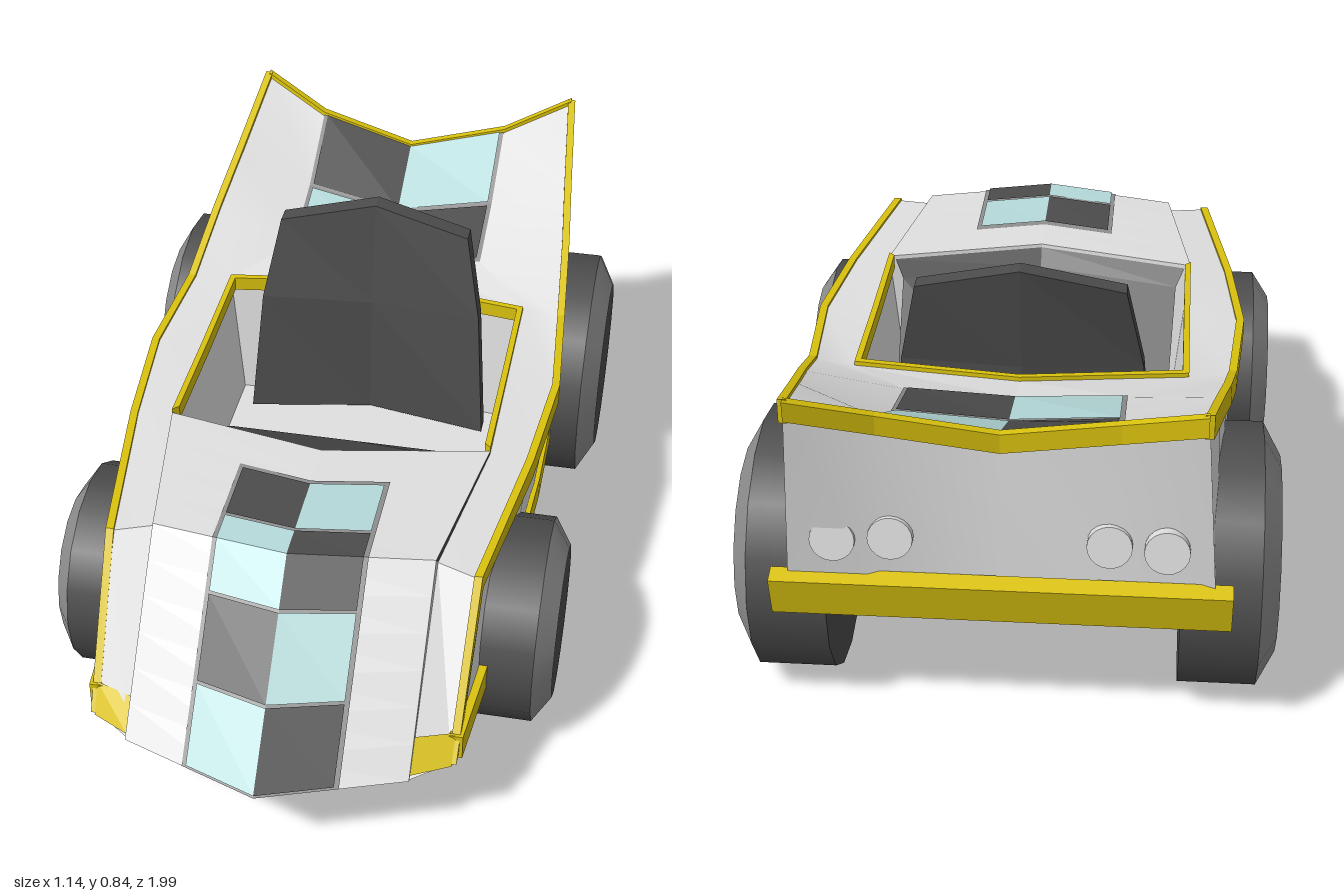
import * as THREE from 'three';
import { mergeGeometries, mergeVertices } from 'three/addons/utils/BufferGeometryUtils.js';

const paint = (name, color) => {
  const m = new THREE.MeshStandardMaterial({ color, side: THREE.DoubleSide });
  m.name = name;
  return m;
};
const add = (a, b) => a.map((v, i) => v + b[i]);
const lerp = (a, b, t) => a.map((v, i) => v + (b[i] - v) * t);
const flip = (p) => [-p[0], p[1], p[2]];
const both = (rows) => [rows, rows.map((r) => r.map(flip).reverse())];

// Faceted surface through rows of points
function grid(rows) {
  const out = [];
  for (let i = 0; i + 1 < rows.length; i++)
    for (let j = 0; j + 1 < rows[i].length; j++) {
      const a = rows[i][j], b = rows[i + 1][j], c = rows[i + 1][j + 1], d = rows[i][j + 1];
      out.push(...a, ...b, ...c, ...a, ...c, ...d);
    }
  const g = new THREE.BufferGeometry();
  g.setAttribute('position', new THREE.Float32BufferAttribute(out, 3));
  g.computeVertexNormals();
  return g;
}

// The same surface with normals blended across its faces
function smoothGrid(rows) {
  const g = grid(rows);
  g.deleteAttribute('normal');
  const m = mergeVertices(g);
  m.computeVertexNormals();
  return m;
}

// Bar with a four-cornered section following a path
function bar(path, down, inward) {
  const rows = path.map((p, i) => {
    const d = Array.isArray(down[0]) ? down[i] : down;
    const n = Array.isArray(inward[0]) ? inward[i] : inward;
    return [p, add(p, d), add(add(p, d), n), add(p, n), p];
  });
  const caps = [rows[0], rows[rows.length - 1]].map((r) => grid([[r[0], r[1]], [r[3], r[2]]]));
  return mergeGeometries([grid(rows), ...caps]);
}

export function createModel() {
  const white = paint('bodyWhite', 0xe0e0e0);
  const yellow = paint('trimYellow', 0xdac20e);
  const dark = paint('darkGrey', 0x4c4c4c);
  const blue = paint('paleBlue', 0xb6dada);
  const grey = paint('tyreGrey', 0x8e8e8e);
  const car = new THREE.Group();
  const put = (name, mat, ...geos) => {
    const m = new THREE.Mesh(geos.length > 1 ? mergeGeometries(geos) : geos[0], mat);
    m.name = name;
    car.add(m);
    return m;
  };

  // Key lines of the body, left half, front to back
  const belt = [[0.392, 0.22, 0.83], [0.402, 0.552, 0.60], [0.46, 0.565, 0.2], [0.485, 0.575, -0.08],
    [0.465, 0.587, -0.35], [0.448, 0.67, -0.56], [0.43, 0.736, -0.73], [0.405, 0.835, -0.985]];
  const sill = [[0.392, 0.22, 0.82], [0.412, 0.22, 0.6], [0.432, 0.22, 0.2], [0.445, 0.22, -0.08],
    [0.445, 0.22, -0.35], [0.445, 0.22, -0.56], [0.443, 0.25, -0.70], [0.44, 0.30, -0.89]];
  const inner = [[0.31, 0.215, 0.868], [0.312, 0.558, 0.572], [0.37, 0.572, 0.2], [0.37, 0.578, -0.08],
    [0.37, 0.583, -0.37], [0.24, 0.612, -0.52], [0.24, 0.665, -0.715], [0.24, 0.772, -0.915]];
  const mid = [[0, 0.585, -0.42], [0, 0.597, -0.515], [0, 0.632, -0.685], [0, 0.72, -0.88]];

  // Sides, shoulders and rear deck
  put('bodySides', white, ...both([belt, sill]).map(smoothGrid));
  put('frontShoulders', white, ...both([belt.slice(0, 2), inner.slice(0, 2)]).map(grid));
  put('shoulders', white, ...both([belt.slice(1), inner.slice(1)]).map(smoothGrid));
  put('rearDeck', white, ...both([inner.slice(4), mid]).map(grid));

  // Pointed bonnet standing slightly proud of the shoulders
  const noseEdge = [[0.31, 0.215, 0.885], [0.31, 0.575, 0.585], [0.37, 0.58, 0.2]];
  const noseMid = [[0, 0.215, 0.995], [0, 0.588, 0.64], [0, 0.588, 0.28]];
  const divide = ([a, b, c]) => [0, 1, 2, 3, 4, 5].map((i) => lerp(a, b, i / 6))
    .concat([0, 1, 2, 3, 4].map((i) => lerp(b, c, i / 4)));
  put('bonnet', white, ...both([divide(noseEdge), divide(noseMid)]).map(grid));
  put('noseEdge', white, ...both([noseEdge.slice(0, 2), inner.slice(0, 2)]).map(grid));
  put('bonnetEdge', dark, ...both([noseEdge.slice(1), inner.slice(1, 3)]).map(grid));

  // Floor
  const underside = sill.map((p) => [p, [0, p[1], p[2]], flip(p)]);
  put('underside', white, grid(underside),
    ...both([[sill[0], [0.31, 0.205, 0.87], [0, 0.205, 0.98]],
      [[0, 0.22, 0.82], [0, 0.22, 0.82], [0, 0.22, 0.82]]]).map(grid),
    ...both([[[0.31, 0.205, 0.87], [0, 0.205, 0.98]], [noseEdge[0], noseMid[0]]]).map(grid));

  // Rear panel with flat round lamps
  const tail = [belt[7], inner[7], mid[3], flip(inner[7]), flip(belt[7])];
  const tailLow = [0.44, 0.24, 0, -0.24, -0.44].map((x) => [x, 0.30, -0.89]);
  put('rearPanel', white, smoothGrid([tail, tailLow]));
  for (const x of [-0.335, -0.22, 0.22, 0.335]) {
    const lamp = put('rearLamp', white, new THREE.CylinderGeometry(0.046, 0.046, 0.024, 20));
    lamp.rotation.x = Math.PI / 2 + 0.12;
    lamp.position.set(x, 0.49, Math.abs(x) > 0.3 ? -0.92 : -0.907);
  }
  const bumper = put('rearBumper', yellow, new THREE.BoxGeometry(0.94, 0.095, 0.04));
  bumper.position.set(0, 0.348, -0.905);
  bumper.rotation.x = -0.25;

  // Yellow trim along the beltline and tail
  const trimPath = belt.map((p) => add(p, [0.01, 0.006, 0]));
  const drops = belt.map((p, i) => (i === 0 ? [0, 0, -0.06] : i === 1 ? [0, -0.05, -0.025] : [0, -0.052, 0]));
  const halves = (path, down, inward) => [bar(path, down, inward),
    bar(path.map(flip), down, Array.isArray(inward[0]) ? inward.map(flip) : flip(inward))];
  put('beltTrim', yellow, ...halves(trimPath, drops, [-0.018, 0, 0]));
  put('tailTrim', yellow, bar(tail.map((p) => add(p, [0, 0.006, -0.012])), [0, -0.045, 0.004], [0, 0, 0.02]));
  put('sillTrim', yellow, ...halves(sill.slice(0, 6).map((p) => add(p, [0.018, 0.06, -0.02])),
    [0, -0.062, 0], [-0.03, 0, 0]));

  // Yellow front corners, thin plates on the shoulders
  const lift = [0, 0.004, 0.004];
  put('frontCorner', yellow, ...both([[belt[0], inner[0]],
    [lerp(belt[0], belt[1], 0.18), lerp(inner[0], inner[1], 0.18)]]
    .map((r) => r.map((p) => add(p, lift)))).map(grid));

  // Chequered plates, alternating on each side of the centre fold, on a grey border
  const plates = { dark: [], blue: [], grey: [] };
  const raise = (rows, k) => both(rows.map((r) => r.map((p) => add(p, [0, k, k]))));
  function chequer(rows, even) {
    raise(rows, 0.005).forEach((r, side) => plates[(side === 0) === even ? 'blue' : 'dark'].push(grid(r)));
  }
  const nose = (seg, t, w = 0.16) => {
    const m = lerp(noseMid[seg], noseMid[seg + 1], t);
    const e = lerp(noseEdge[seg], noseEdge[seg + 1], t);
    return [lerp(m, e, w / e[0]), m];
  };
  chequer([nose(0, 0.01), nose(0, 0.365)], false);
  chequer([nose(0, 0.378), nose(0, 0.755)], true);
  chequer([nose(0, 0.768), nose(0, 1), nose(1, 0.21)], false);
  chequer([nose(1, 0.23), nose(1, 0.66)], true);
  const deck = (seg, t, w = 0.23) => {
    const m = lerp(mid[seg + 1], mid[seg + 2], t);
    return [lerp(m, lerp(inner[seg + 5], inner[seg + 6], t), w / 0.24), m];
  };
  chequer([deck(0, 0.06), deck(0, 0.97)], false);
  chequer([deck(1, 0.03), deck(1, 0.97)], true);
  for (const rows of [[0, 0.25, 0.5, 0.75, 1].map((t) => nose(0, t, 0.17)), [0, 0.35, 0.69].map((t) => nose(1, t, 0.17)),
    [deck(0, 0, 0.24), deck(1, 0, 0.24), deck(1, 1, 0.24)]]) plates.grey.push(...raise(rows, 0.002).map(grid));
  put('darkChequers', dark, ...plates.dark);
  put('blueChequers', blue, ...plates.blue);
  put('chequerBorder', grey, ...plates.grey);

  // Cockpit: rim, walls, floor and sloping front panel
  const rim = [[0, 0.588, 0.28], noseEdge[2], inner[3], inner[4], mid[0]];
  const rimIn = [[-0.014, 0, -0.014], [-0.014, 0, 0], [-0.014, 0, 0.014], [0, 0, 0.014]];
  put('cockpitRim', yellow, ...halves(rim.slice(1).map((p) => add(p, [0, 0.01, 0])), [0, -0.035, 0], rimIn));
  const tub = rim.map((p) => [p[0] * 0.91, 0.27, p[2] * 0.93]);
  put('cockpitWalls', white, ...both([rim, tub]).map(grid));
  put('cockpitFloor', white, ...both([tub, tub.map((p) => [0, p[1], p[2]])]).map(grid));
  put('cockpitFrontPanel', dark, ...both([
    [[0.355, 0.572, 0.2], [0, 0.58, 0.278]], [[0.335, 0.53, 0.18], [0, 0.54, 0.25]],
    [[0.32, 0.30, -0.13], [0, 0.30, -0.13]]]).map(grid));

  // Folded, leaning seat back
  const seatEdge = [[0.295, 0.28, -0.255], [0.27, 0.59, -0.295], [0.23, 0.79, -0.34]];
  const seatMid = [[0, 0.28, -0.31], [0, 0.59, -0.32], [0, 0.843, -0.36]];
  const back = (r) => r.map((p) => add(p, [0, 0, -0.045]));
  put('seatBack', dark, ...both([seatEdge, seatMid, back(seatMid), back(seatEdge), seatEdge]).map(grid),
    ...both([[seatEdge[2], seatMid[2]], back([seatEdge[2], seatMid[2]])]).map(grid));

  // Wheels: dark tread, grey bevelled sidewall, dark hub
  for (const [z, r, hub, name] of [[0.35, 0.235, 0.175, 'frontWheel'], [-0.6, 0.285, 0.212, 'rearWheel']])
    for (const s of [1, -1]) {
      const wheel = new THREE.Group();
      wheel.name = name;
      const part = (label, mat, geo, y) => {
        const m = new THREE.Mesh(geo, mat);
        m.name = label;
        m.position.y = y;
        wheel.add(m);
      };
      part('tread', dark, new THREE.CylinderGeometry(r, r, 0.165, 16, 1, true), 0.4475);
      part('sidewall', grey, new THREE.CylinderGeometry(hub, r, 0.04, 16, 1, true), 0.55);
      part('hub', dark, new THREE.CylinderGeometry(hub, hub, 0.02, 16), 0.56);
      part('innerFace', dark, new THREE.CylinderGeometry(r, r, 0.005, 16), 0.3675);
      wheel.rotation.z = -s * Math.PI / 2;
      wheel.position.set(0, r, z);
      car.add(wheel);
    }
  return car;
}
